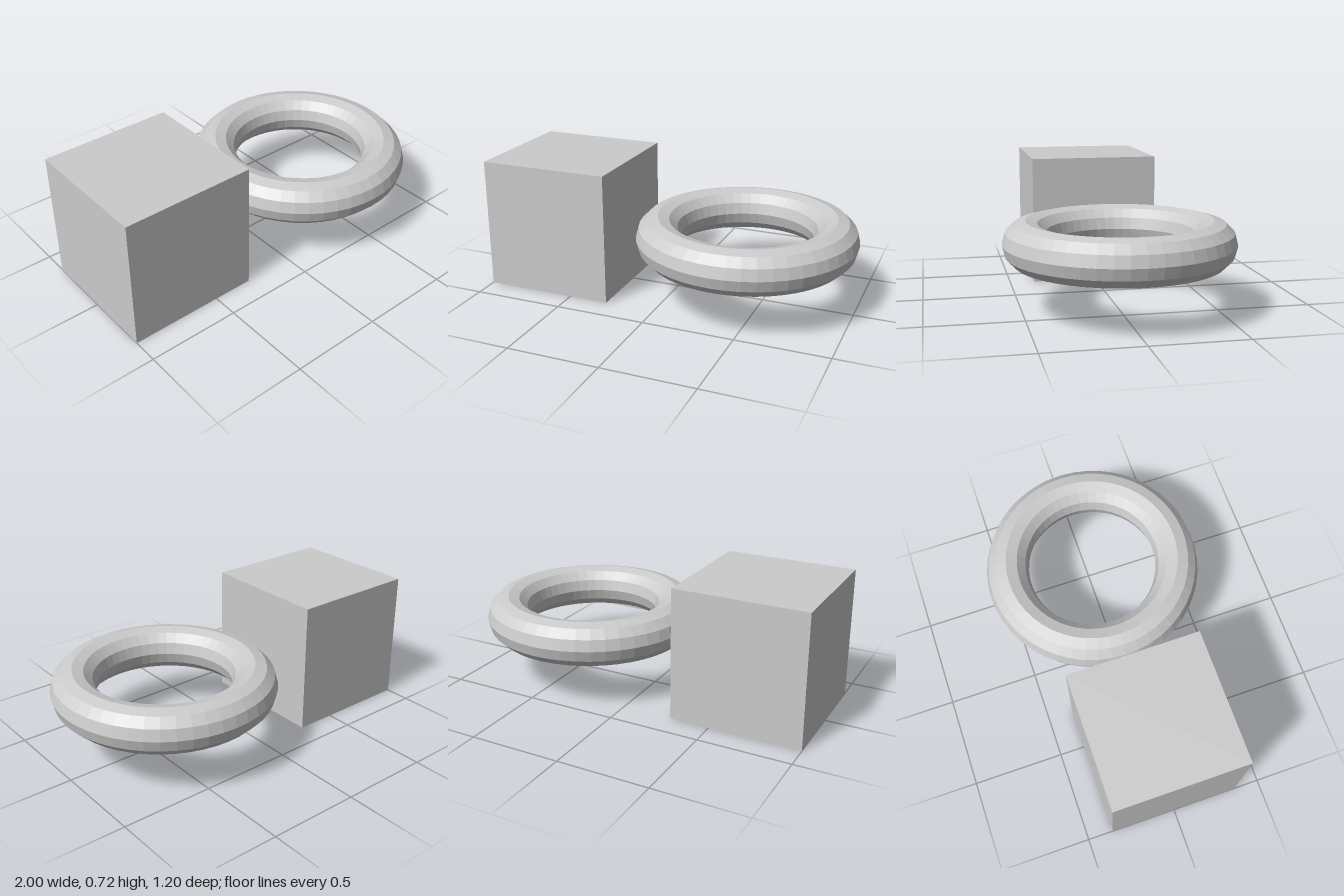
import * as THREE from 'three';

export function createModel() {
  const group = new THREE.Group();
  const material = new THREE.MeshStandardMaterial({ color: 0xcccccc, flatShading: true });
  const size = 0.72;

  // Cube standing on the ground
  const cube = new THREE.Mesh(new THREE.BoxGeometry(size, size, size), material);
  cube.name = 'cube';
  cube.position.set(-0.64, size / 2, 0);

  // Faceted ring lying flat, level with the middle of the cube
  const ring = new THREE.Mesh(new THREE.TorusGeometry(0.48, 0.12, 12, 48), material);
  ring.name = 'ring';
  ring.rotation.x = Math.PI / 2;
  ring.position.set(0.4, size / 2, 0);

  group.add(cube, ring);
  return group;
}
